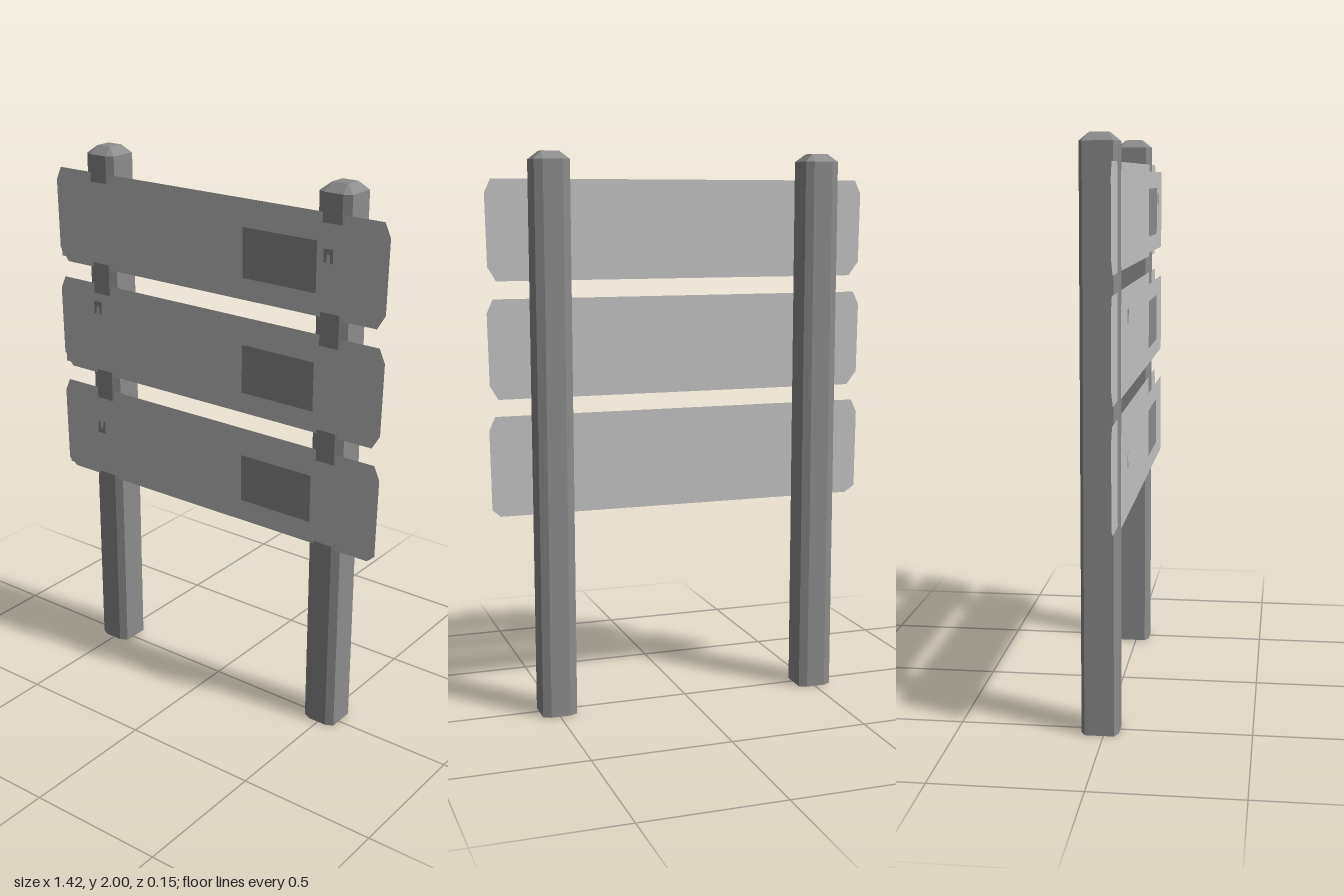
import * as THREE from 'three';

const wood = new THREE.MeshStandardMaterial({ color: 0xc4c4c4, side: THREE.DoubleSide });
wood.name = 'light grey board';
const dark = new THREE.MeshStandardMaterial({ color: 0x8c8c8c, side: THREE.DoubleSide, flatShading: true });
dark.name = 'dark grey post';

const POST_Z = -0.014;

// Post: eight-sided shaft whose corner pairs merge into a small square on top
function postGeometry() {
  const ring = [], cap = [];
  const corners = [[1, 1], [-1, 1], [-1, -1], [1, -1]];
  corners.forEach(([sx, sz], i) => {
    const pair = [[0.063 * sx, 0.05 * sz], [0.035 * sx, 0.064 * sz]];
    if (i % 2) pair.reverse();
    ring.push(...pair);
    cap.push([0.03 * sx, 0.03 * sz], [0.03 * sx, 0.03 * sz]);
  });
  const levels = [[ring, 0], [ring, 1.972], [cap, 2]];
  const pos = [], index = [];
  levels.forEach(([pts, y]) => pts.forEach(([x, z]) => pos.push(x, y, z)));
  for (let l = 0; l < 2; l++) {
    for (let i = 0; i < 8; i++) {
      const a = l * 8 + i, b = l * 8 + (i + 1) % 8;
      index.push(a, a + 8, b);
      if (l === 0 || i % 2) index.push(b, a + 8, b + 8);
    }
  }
  for (let i = 1; i < 7; i++) index.push(0, i, i + 1);
  index.push(16, 20, 18, 16, 22, 20);
  const g = new THREE.BufferGeometry();
  g.setAttribute('position', new THREE.Float32BufferAttribute(pos, 3));
  g.setIndex(index);
  const flat = g.toNonIndexed();
  flat.computeVertexNormals();
  return flat;
}

// Flat sheet facing +z cut from an outline
function sheet(name, points, z, material) {
  const shape = new THREE.Shape(points.map(([x, y]) => new THREE.Vector2(x, y)));
  const mesh = new THREE.Mesh(new THREE.ShapeGeometry(shape), material);
  mesh.name = name;
  mesh.position.z = z;
  return mesh;
}

const rect = (x0, x1, y0, y1) => [[x0, y0], [x1, y0], [x1, y1], [x0, y1]];

// Small two-pronged staple outline
function stapleOutline(x, y, flip) {
  return [[-0.018, -0.025], [-0.018, 0.025], [0.018, 0.025], [0.018, -0.025],
    [0.008, -0.02], [0.005, 0.008], [-0.005, 0.008], [-0.008, -0.02]]
    .map(([px, py]) => [x + px, y + py * flip]);
}

export function createModel() {
  const group = new THREE.Group();
  group.name = 'signboard';

  const post = postGeometry();
  for (const [name, x] of [['rightPost', -0.503], ['leftPost', 0.497]]) {
    const mesh = new THREE.Mesh(post, dark);
    mesh.name = name;
    mesh.position.set(x, 0, POST_Z);
    group.add(mesh);
  }

  // Boards: clipped-corner back sheet, raised face, dark panel and staple
  const boards = [
    { name: 'top', y0: 1.556, y1: 1.907, low: 0.05, staple: [0.5, 1.772, 1] },
    { name: 'middle', y0: 1.142, y1: 1.494, low: 0.05, staple: [-0.503, 1.412, 1] },
    { name: 'bottom', y0: 0.722, y1: 1.082, low: 0.025, staple: [-0.503, 0.937, -1] },
  ];
  for (const { name, y0, y1, low, staple } of boards) {
    const board = new THREE.Group();
    board.name = name + 'Board';
    const outline = [[-0.67, y0], [0.675, y0], [0.705, y0 + low], [0.71, y1 - 0.048],
      [0.688, y1], [-0.69, y1], [-0.712, y1 - 0.048], [-0.708, y0 + low]];
    board.add(
      sheet('boardBack', outline, 0.047, wood),
      sheet('boardFace', rect(-0.675, 0.673, y0 + 0.027, y1 - 0.027), 0.074, wood),
      sheet('panel', rect(0.16, 0.456, y1 - 0.264, y1 - 0.089), 0.0765, dark),
      sheet('staple', stapleOutline(...staple), 0.0765, dark),
    );
    group.add(board);
  }
  return group;
}
